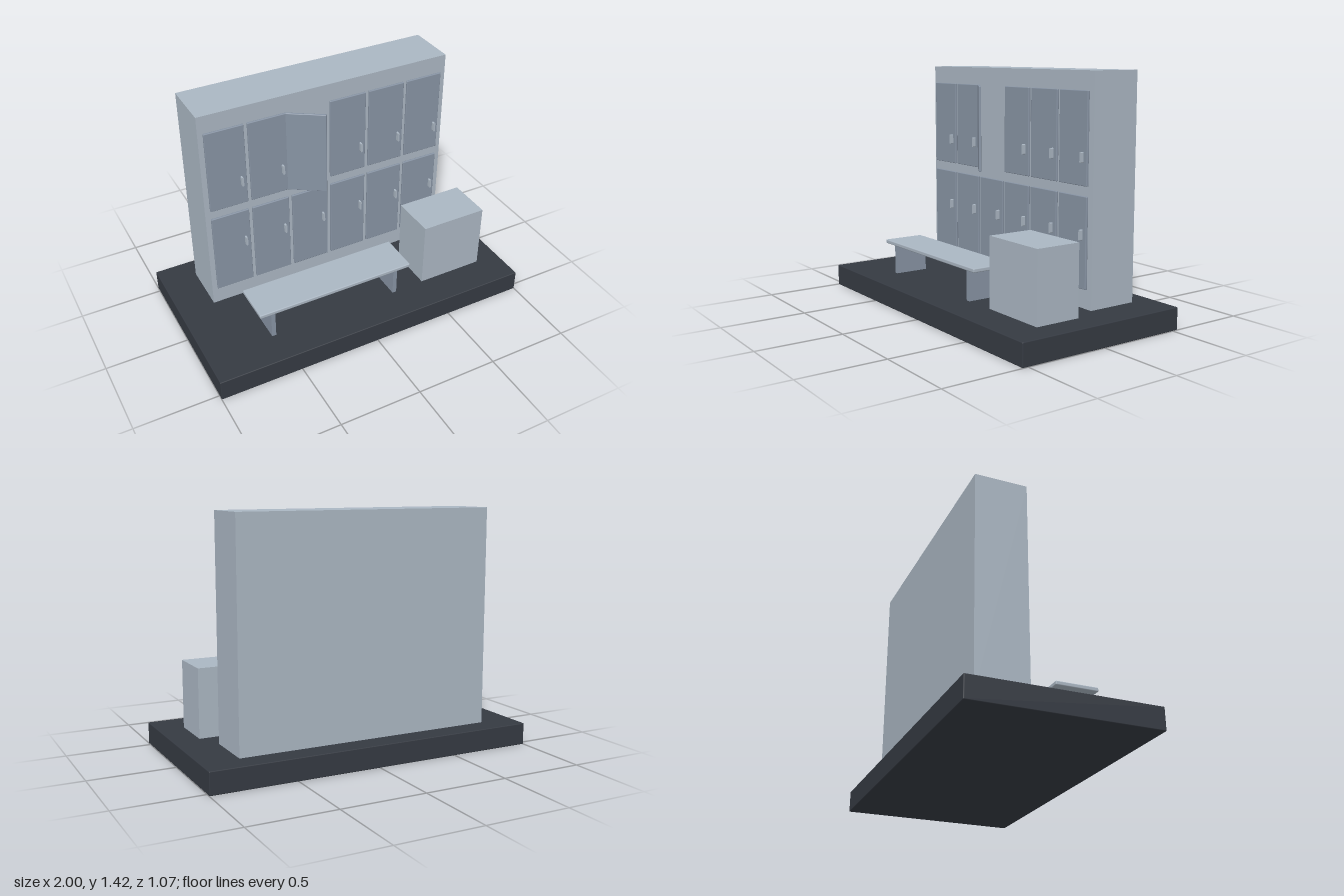
import * as THREE from 'three';
import { RoundedBoxGeometry } from 'three/addons/geometries/RoundedBoxGeometry.js';

const material = (name, color) => {
  const m = new THREE.MeshStandardMaterial({ color });
  m.name = name;
  return m;
};

export function createModel() {
  const model = new THREE.Group();
  model.name = 'lockerRoom';
  const lightGrey = material('lightGrey', 0xaab6c2);
  const doorGrey = material('doorGrey', 0x8793a3);
  const darkFloor = material('darkFloor', 0x353a42);

  const add = (name, geometry, mat, parent = model) => {
    const mesh = new THREE.Mesh(geometry, mat);
    mesh.name = name;
    parent.add(mesh);
    return mesh;
  };
  // Box given by its lower and upper limits; a radius rounds its edges
  const box = (name, mat, [x0, x1], [y0, y1], [z0, z1], radius = 0, parent = model) => {
    const size = [x1 - x0, y1 - y0, z1 - z0];
    const geometry = radius ? new RoundedBoxGeometry(...size, 2, radius) : new THREE.BoxGeometry(...size);
    const mesh = add(name, geometry, mat, parent);
    mesh.position.set((x0 + x1) / 2, (y0 + y1) / 2, (z0 + z1) / 2);
    return mesh;
  };

  // Floor slab, cabinet and storage box
  box('floor', darkFloor, [-1, 1], [0, 0.13], [-0.535, 0.535], 0.005);
  box('cabinet', lightGrey, [-0.785, 0.782], [0.13, 1.42], [-0.4, -0.095]);
  box('storageBox', lightGrey, [0.43, 0.845], [0.13, 0.537], [0.05, 0.327]);

  // Handle: an upright bar with round ends
  const r = 0.006, half = 0.024;
  const outline = new THREE.Shape();
  outline.absarc(0, half, r, 0, Math.PI);
  outline.absarc(0, -half, r, Math.PI, Math.PI * 2);
  const handleGeometry = new THREE.ExtrudeGeometry(outline, { depth: 0.022, bevelEnabled: false, curveSegments: 8 });

  // Two rows of six doors, each pivoting on its left edge; one stands open
  const width = 0.232, height = 0.51, thick = 0.015;
  const doorGeometry = new RoundedBoxGeometry(width, height, thick, 2, 0.004);
  [{ y: 0.24, handleY: 0.3 }, { y: 0.805, handleY: 0.155 }].forEach((row, rowIndex) => {
    for (let i = 0; i < 6; i++) {
      const isOpen = rowIndex === 1 && i === 2;
      const door = new THREE.Group();
      door.name = isOpen ? 'openDoor' : 'door';
      door.position.set(-0.755 + 0.254 * i, row.y, -0.095);
      add('doorPanel', doorGeometry, doorGrey, door).position.set(width / 2, height / 2, thick / 2);
      if (isOpen) {
        door.position.x = -0.268;
        door.rotation.y = -THREE.MathUtils.degToRad(33);
      } else {
        add('handle', handleGeometry, lightGrey, door).position.set(0.199, row.handleY, thick - 0.002);
      }
      model.add(door);
    }
  });

  // Bench with two panel legs
  const bench = new THREE.Group();
  bench.name = 'bench';
  model.add(bench);
  box('benchSeat', lightGrey, [-0.67, 0.318], [0.311, 0.335], [0.103, 0.355], 0.006, bench);
  for (const x of [-0.582, 0.228])
    box('benchLeg', doorGrey, [x - 0.013, x + 0.013], [0.13, 0.312], [0.125, 0.333], 0, bench);

  return model;
}
